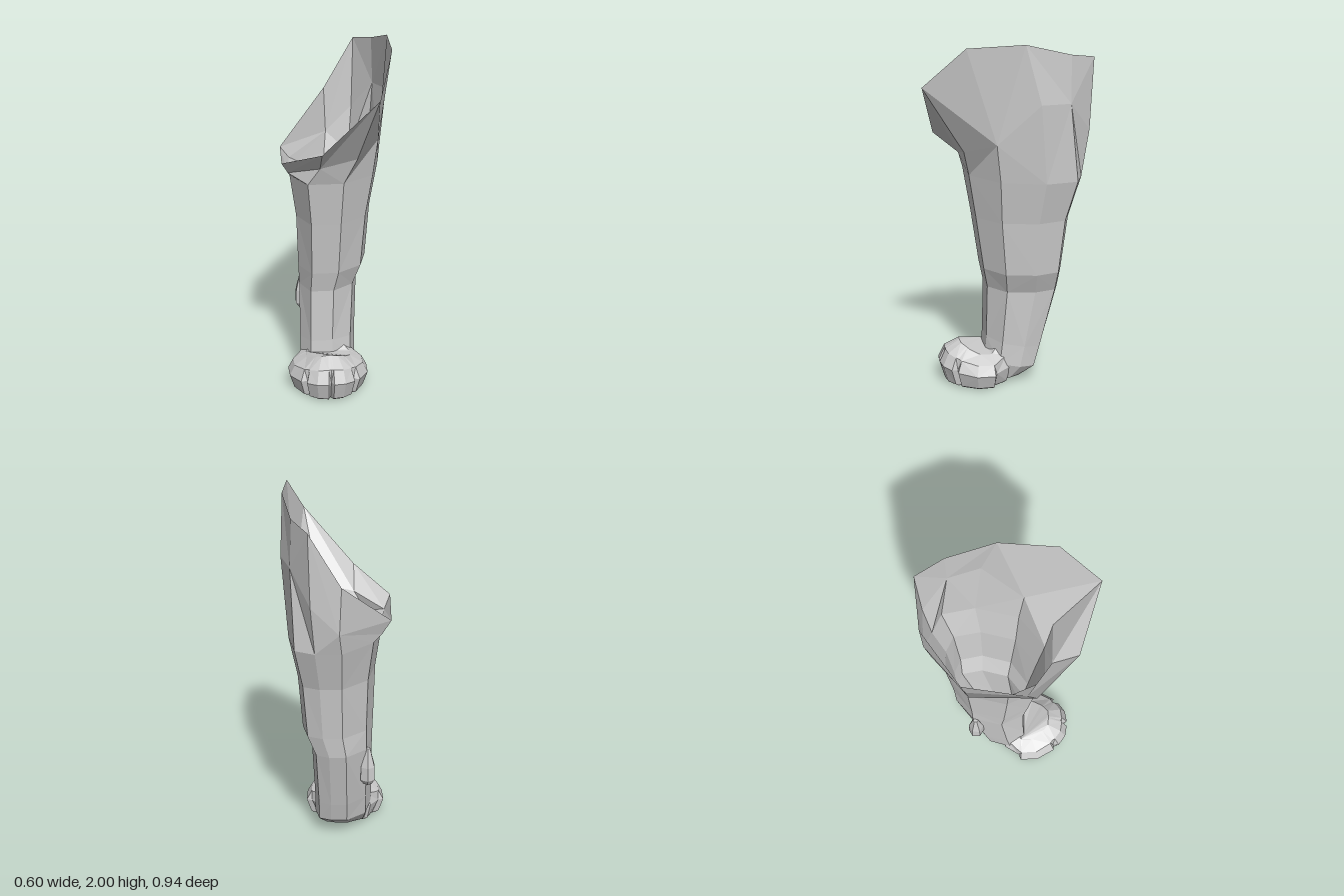
import * as THREE from 'three';

const { lerp, degToRad } = THREE.MathUtils;

// Skin through a list of equal-length closed rings, bottom to top
function loft(rings, capBottom, capTop) {
  const n = rings[0].length, index = [];
  for (let i = 0; i < rings.length - 1; i++) {
    for (let j = 0; j < n; j++) {
      const a = i * n + j, b = i * n + (j + 1) % n;
      const c = a + n, d = b + n;
      // alternate the diagonal for an irregular faceted look
      if ((i + j) % 2) index.push(a, b, d, a, d, c);
      else index.push(a, b, c, b, d, c);
    }
  }
  const last = (rings.length - 1) * n;
  for (let j = 1; j < n - 1; j++) {
    if (capBottom) index.push(0, j + 1, j);
    if (capTop) index.push(last, last + j, last + j + 1);
  }
  const g = new THREE.BufferGeometry();
  g.setAttribute('position', new THREE.Float32BufferAttribute(rings.flat(2), 3));
  g.setIndex(index);
  const flat = g.toNonIndexed();
  flat.computeVertexNormals();
  return flat;
}

// Leg section: u runs right to left (-1..1), v runs front to back (0..1).
// Columns: inner front, outer front, outer side (3), back (2), inner back, inner side
const LEG = [[-0.66, 0], [0.1, 0], [0.78, 0.23], [1, 0.62], [0.86, 0.92], [0.44, 1], [-0.11, 1], [-0.78, 0.75], [-1, 0.32]];
const legRing = ([yFront, yBack, x0, x1, zFront, zBack]) => LEG.map(([u, v]) =>
  [lerp(x0, x1, (u + 1) / 2), lerp(yFront, yBack, v), lerp(zFront, zBack, v)]);

// Paw outline: four toes fanned round the front with a narrow groove at each boundary
const TOE_EDGES = [-105, -40, 0, 40, 105];
const OUTLINE = [];
for (let t = 0; t < 4; t++) {
  const from = TOE_EDGES[t], to = TOE_EDGES[t + 1];
  OUTLINE.push([from, 0, 1]);
  for (const f of [0.1, 0.5, 0.9]) OUTLINE.push([lerp(from, to, f), f === 0.5 ? 0.02 : 0, 0]);
}
OUTLINE.push([105, 0, 1], [140, 0, 0], [180, 0, 0], [220, 0, 0]);

// Horizontal paw ring; grooves cut inward and the sides sit lower than the middle
const pawRing = ([y, r, groove]) => OUTLINE.map(([deg, bulge, cut]) => {
  const s = Math.sin(degToRad(deg)), c = Math.cos(degToRad(deg));
  const k = r + bulge - cut * groove;
  return [-0.05 + 0.23 * k * s, y * (1 - 0.25 * s * s), 0.1 + (c > 0 ? 0.265 : 0.16) * k * c];
});

export function createModel() {
  const group = new THREE.Group();
  const fur = new THREE.MeshStandardMaterial({ color: 0xcccccc, side: THREE.DoubleSide });
  fur.name = 'paleGrey';
  const add = (name, geometry) => {
    const mesh = new THREE.Mesh(geometry, fur);
    mesh.name = name;
    group.add(mesh);
  };

  // Leg shaft from heel to shoulder: front y, back y, x range, front z, back z
  const shaft = [
    [0.015, 0.035, -0.18, 0.08, 0.1, -0.1],
    [0.13, 0.1, -0.2, 0.125, 0.1, -0.185],
    [0.26, 0.22, -0.2, 0.125, 0.09, -0.22],
    [0.57, 0.57, -0.2, 0.14, 0.085, -0.31],
    [0.69, 0.69, -0.205, 0.19, 0.11, -0.32],
    [1, 1, -0.215, 0.215, 0.155, -0.355],
    [1.25, 1.23, -0.25, 0.262, 0.195, -0.42],
  ].map(legRing);

  // Flare below the rim
  const flare = [
    [-0.1, 1.35, 0.23], [0.1, 1.4, 0.235], [0.23, 1.46, 0.08], [0.298, 1.68, -0.145], [0.245, 1.67, -0.32],
    [0.14, 1.5, -0.455], [-0.01, 1.35, -0.455], [-0.24, 1.27, -0.23], [-0.265, 1.29, 0.1],
  ];

  // Slanted open rim
  const rim = [
    [-0.1, 1.47, 0.37], [0.185, 1.78, 0.47], [0.272, 1.99, 0.25], [0.288, 2, -0.06], [0.235, 1.93, -0.32],
    [0.15, 1.9, -0.47], [-0.02, 1.61, -0.46], [-0.29, 1.34, -0.21], [-0.3, 1.36, 0.15],
  ];
  add('leg', loft([...shaft, flare, rim], true, false));

  // Paw with toes, hollow underneath: height, radius, groove depth
  add('paw', loft([
    [0.045, 0.5, 0],
    [0, 0.8, 0.1],
    [0.015, 0.88, 0.14],
    [0.12, 1, 0.12],
    [0.195, 0.87, 0.02],
    [0.245, 0.55, 0],
  ].map(pawRing), true, true));

  // Small blunt claw pad on the inner back of the leg: height, radius
  const pad = [[0.35, 0.025], [0.38, 0.046], [0.46, 0.044], [0.57, 0.015]];
  add('dewclaw', loft(pad.map(([y, r]) =>
    Array.from({ length: 6 }, (_, i) => {
      const a = (i / 6) * Math.PI * 2;
      return [-0.172 + r * Math.sin(a), y, -0.195 + r * Math.cos(a)];
    })), true, true));

  return group;
}
